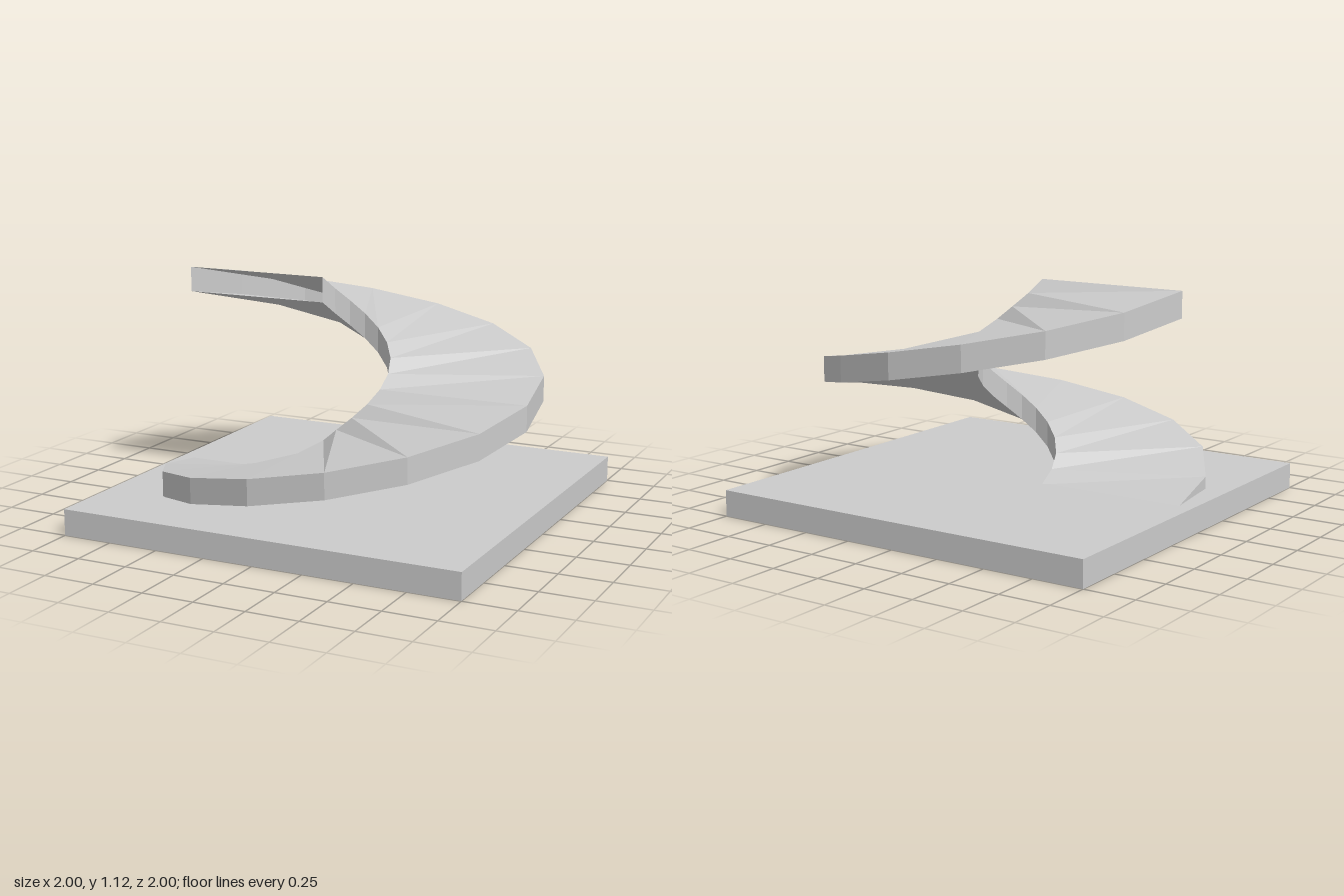
import * as THREE from 'three';

const STEPS = 16;      // segments in one full turn
const RISE = 1.0;      // climb over the turn
const THICK = 0.125;   // height of the ramp section
const OFFSET = -0.059; // the section lies slightly off the axis
const INNER = -0.183;
const OUTER = -0.93;

// Hollow rectangular section swept up a faceted helix, open at both ends
function rampGeometry() {
  const section = [[INNER, 0], [OUTER, 0], [OUTER, THICK], [INNER, THICK]];
  const positions = [];
  const index = [];
  for (let i = 0; i <= STEPS; i++) {
    const a = (i / STEPS) * Math.PI * 2;
    const c = Math.cos(a), s = Math.sin(a);
    for (const [x, y] of section) {
      positions.push(x * c + OFFSET * s, y + (RISE * i) / STEPS, -x * s + OFFSET * c);
    }
  }
  for (let i = 0; i < STEPS; i++) {
    for (let k = 0; k < 4; k++) {
      const a = i * 4 + k, b = i * 4 + ((k + 1) % 4);
      const c = b + 4, d = a + 4;
      // twisted quads split from the inner corner to the next outer corner
      if (k === 2) index.push(a, d, b, b, d, c);
      else index.push(a, c, b, a, d, c);
    }
  }
  const geometry = new THREE.BufferGeometry();
  geometry.setAttribute('position', new THREE.Float32BufferAttribute(positions, 3));
  geometry.setIndex(index);
  const flat = geometry.toNonIndexed();
  flat.computeVertexNormals();
  return flat;
}

export function createModel() {
  const group = new THREE.Group();
  group.name = 'spiralRamp';

  // Square base slab
  const baseHeight = 0.128;
  const base = new THREE.Mesh(
    new THREE.BoxGeometry(2, baseHeight, 2),
    new THREE.MeshStandardMaterial({ color: 0xcccccc, flatShading: true })
  );
  base.name = 'base';
  base.position.y = baseHeight / 2;
  group.add(base);

  // Spiral ramp rising one turn from the slab
  const ramp = new THREE.Mesh(
    rampGeometry(),
    new THREE.MeshStandardMaterial({ color: 0xcccccc, flatShading: true, side: THREE.DoubleSide })
  );
  ramp.name = 'ramp';
  group.add(ramp);

  return group;
}
